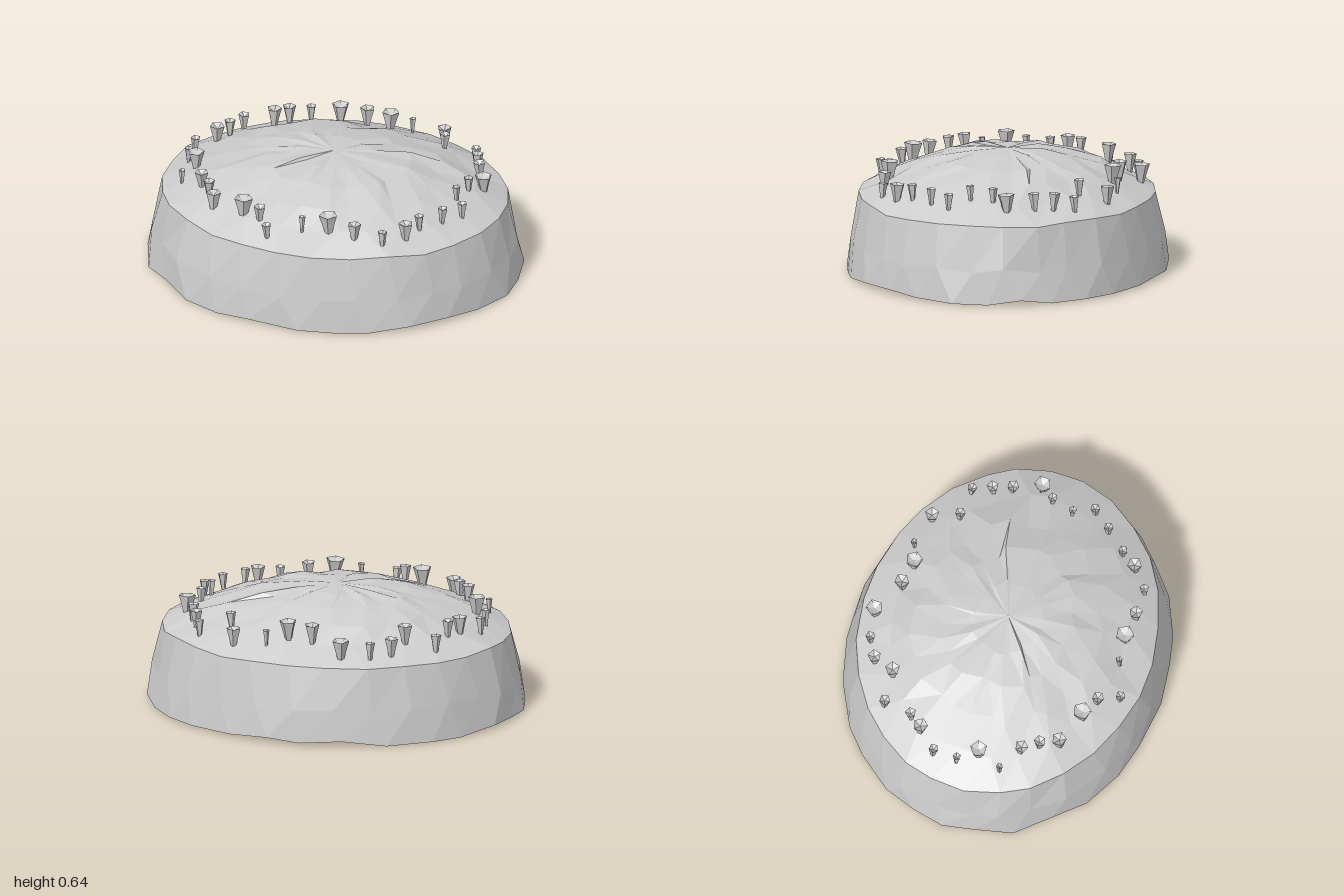
import * as THREE from 'three';

const stone = new THREE.MeshStandardMaterial({ color: 0xcccccc, flatShading: true, side: THREE.DoubleSide });
stone.name = 'paleGrey';

// Small seeded noise in -1..1
let seed = 7;
const noise = () => {
  seed = (seed * 16807) % 2147483647;
  return (seed / 2147483647) * 2 - 1;
};

const N = 28, STEP = (Math.PI * 2) / N;

// A ring of points on an ellipse, with slight irregularity
function ring({ a, b, y, turn, jr = 0, jy = 0, ja = 0 }) {
  const pts = [];
  for (let i = 0; i < N; i++) {
    const t = (i - turn + noise() * ja) * STEP, k = 1 + noise() * jr;
    pts.push([Math.cos(t) * a * k, y + noise() * jy, Math.sin(t) * b * k]);
  }
  return pts;
}

// Join rings listed from outside/bottom to inside/top; an optional tip closes the middle
function loft(rings, tip) {
  const pos = [];
  const tri = (p, q, r) => pos.push(...p, ...q, ...r);
  for (let j = 0; j < rings.length - 1; j++) {
    const lo = rings[j], hi = rings[j + 1];
    for (let i = 0; i < N; i++) {
      const n = (i + 1) % N;
      tri(lo[i], hi[i], hi[n]);
      tri(lo[i], hi[n], lo[n]);
    }
  }
  if (tip) {
    const last = rings[rings.length - 1];
    last.forEach((p, i) => tri(p, tip, last[(i + 1) % N]));
  }
  const g = new THREE.BufferGeometry();
  g.setAttribute('position', new THREE.Float32BufferAttribute(pos, 3));
  g.computeVertexNormals();
  return g;
}

// Dome height against normalised radius
const PROFILE = [[0, 0.64], [0.22, 0.63], [0.42, 0.6], [0.62, 0.55], [0.8, 0.485], [1, 0.405]];
function domeHeight(r) {
  for (let i = 1; i < PROFILE.length; i++) {
    const [r0, y0] = PROFILE[i - 1], [r1, y1] = PROFILE[i];
    if (r <= r1) return y0 + ((y1 - y0) * (r - r0)) / (r1 - r0);
  }
  return 0.405;
}

// Cup positions and top radii: x, z, radius, in hundredths
const CUPS = [
  -16, -68, 4.6, -31, -65, 2.6, -41, -59, 3.6, -46, -47, 4, -62, -46, 3, -65, -30, 3,
  -70, -23, 4, -79, -13, 2.6, -79, 0, 2.2, -72, 10, 4.6, -76, 23, 1.8, -63, 30, 3.6,
  -57, 38, 3.2, -52, 48, 4, -34, 54, 5, -24, 58, 3.2, -17, 68, 2.6, 0, 62, 1.8,
  14, 60, 5, 28, 61, 3.6, 43, 60, 2.6, 53, 51, 4, 58, 42, 2.6, 67, 31, 2.6,
  75, 21, 2.6, 69, 10, 2.2, 72, -2, 2.6, 78, -10, 4.6, 72, -24, 3.2, 68, -33, 3.2,
  64, -44, 2.6, 47, -44, 2.8, 43, -58, 3.8, 25, -61, 1.8, 14, -57, 4.6, 1, -59, 4,
];

export function createModel() {
  const model = new THREE.Group();
  const add = (name, geometry, parent = model) => {
    const mesh = new THREE.Mesh(geometry, stone);
    mesh.name = name;
    parent.add(mesh);
    return mesh;
  };

  // Leaning outer wall with a wavy lower edge
  const rim = ring({ a: 0.915, b: 0.77, y: 0.405, turn: 1.5, jr: 0.008, jy: 0.01, ja: 0.1 });
  add('outerWall', loft([
    ring({ a: 0.99, b: 0.835, y: 0.016, turn: 0, jr: 0.01, jy: 0.015, ja: 0.15 }),
    ring({ a: 0.965, b: 0.815, y: 0.18, turn: 0.6, jr: 0.01, jy: 0.015, ja: 0.15 }),
    rim,
  ]));

  // Swirled, creased dome
  const domeRings = [rim];
  PROFILE.slice(1, -1).reverse().forEach(([r, y], i) => {
    domeRings.push(ring({
      a: 0.915 * r, b: 0.77 * r, y, turn: 2.2 + i * 0.7,
      jr: 0.03 + i * 0.03, jy: 0.008, ja: 0.2 + i * 0.1,
    }));
  });
  add('dome', loft(domeRings, [0, 0.64, 0]));

  // Five-sided flared cups around the dome
  const cups = new THREE.Group();
  cups.name = 'cups';
  model.add(cups);
  for (let i = 0; i < CUPS.length; i += 3) {
    const [x, z, r] = CUPS.slice(i, i + 3).map((v) => v / 100);
    const h = 0.085 + r * 0.5;
    const profile = [[0, 0], [0.35, 0], [0.72, 0.6], [1, 1], [0.7, 0.93], [0, 0.8]]
      .map(([pr, py]) => new THREE.Vector2(pr * r, py * h));
    const cup = add('cup', new THREE.LatheGeometry(profile, 5), cups);
    cup.position.set(x, domeHeight(Math.hypot(x / 0.915, z / 0.77)) - 0.015, z);
    cup.rotation.set(noise() * 0.06, noise() * 3, noise() * 0.06);
  }

  // Floor plate
  const floor = add('floor', new THREE.CylinderGeometry(1, 1, 0.015, 18));
  floor.scale.set(0.87, 1, 0.73);
  floor.position.y = 0.035;

  // Window frames standing on the floor, hidden behind the outer wall
  const frames = new THREE.Group();
  frames.name = 'windowFrames';
  model.add(frames);
  const POSTS = 30;
  for (let i = 0; i < POSTS; i++) {
    const t = (i / POSTS) * Math.PI * 2;
    const post = add('post', new THREE.BoxGeometry(0.02, 0.35, 0.02), frames);
    post.position.set(Math.cos(t) * 0.85, 0.215, Math.sin(t) * 0.71);
    post.rotation.y = -t;
  }
  for (const y of [0.09, 0.34]) {
    const rail = add('rail', new THREE.TorusGeometry(1, 0.012, 4, POSTS).rotateX(Math.PI / 2), frames);
    rail.scale.set(0.85, 1, 0.71);
    rail.position.y = y;
  }
  return model;
}
